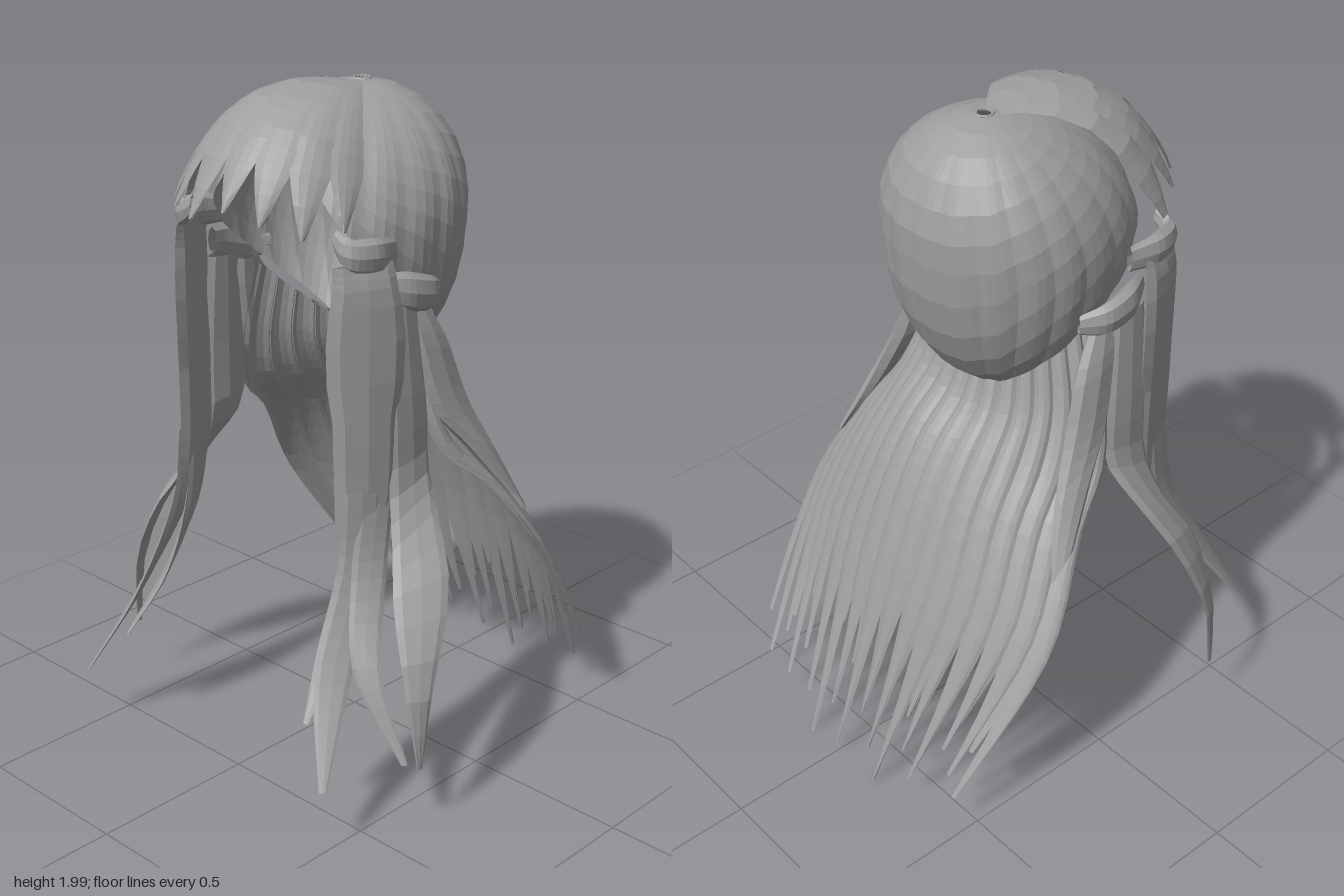
import * as THREE from 'three';

const V = (x, y, z) => new THREE.Vector3(x, y, z);
const { lerp, clamp } = THREE.MathUtils;

// Grid surface from a rule f(u, v) -> Vector3, with u and v in 0..1
function sheet(f, nu, nv) {
  const pos = [], idx = [];
  for (let j = 0; j <= nv; j++)
    for (let i = 0; i <= nu; i++) pos.push(...f(i / nu, j / nv).toArray());
  for (let j = 0; j < nv; j++)
    for (let i = 0; i < nu; i++) {
      const a = j * (nu + 1) + i, b = a + nu + 1;
      idx.push(a, b, a + 1, a + 1, b, b + 1);
    }
  const g = new THREE.BufferGeometry();
  g.setAttribute('position', new THREE.Float32BufferAttribute(pos, 3));
  g.setIndex(idx);
  g.computeVertexNormals();
  return g;
}

// Closed lens-shaped lock lofted along sections of [centre, half-width vector, thickness]
function lockGeometry(sections, steps = 14) {
  const path = new THREE.CatmullRomCurve3(sections.map(s => V(...s[0])));
  const wide = new THREE.CatmullRomCurve3(sections.map(s => V(...s[1])));
  const n = sections.length - 1;
  return sheet((u, v) => {
    const k = Math.min(n - 1, Math.floor(v * n));
    const thick = lerp(sections[k][2], sections[k + 1][2], v * n - k);
    const w = wide.getPoint(v);
    const out = V(0, 0, 0).crossVectors(path.getTangent(v), w).normalize();
    const a = u * Math.PI * 2;
    return path.getPoint(v).addScaledVector(w, Math.cos(a)).addScaledVector(out, thick * Math.sin(a));
  }, 8, steps);
}

// Piecewise-linear lookup over evenly spaced values
function table(values, t) {
  const f = clamp(t, 0, 1) * (values.length - 1);
  const k = Math.min(values.length - 2, Math.floor(f));
  return lerp(values[k], values[k + 1], f - k);
}

export function createModel() {
  const group = new THREE.Group();
  const hair = new THREE.MeshStandardMaterial({ color: 0x9e9e9e, flatShading: true, side: THREE.DoubleSide });
  hair.name = 'hair grey';
  const add = (name, geometry) => {
    const m = new THREE.Mesh(geometry, hair);
    m.name = name;
    group.add(m);
    return m;
  };

  // Scalp cap: wedges fanning out from the crown, hem low at the back and high at the front
  const hem = [1.18, 1.18, 1.21, 1.3, 1.4, 1.52, 1.66, 1.82, 1.88];
  const wedges = 20;
  add('scalpCap', sheet((u, v) => {
    const a = (u * 2 - 1) * Math.PI;
    const end = table(hem, Math.abs(a) / Math.PI);
    const last = end < 1.62 ? Math.PI / 2 + Math.asin((1.62 - end) / 0.48) : Math.acos((end - 1.62) / 0.36);
    const p = lerp(0.07, last, v);
    const ridge = 1 + 0.018 * Math.abs(Math.sin(u * wedges * Math.PI)) * Math.sin(p) - 0.008;
    const c = Math.cos(p), depth = Math.cos(a) > 0 ? 0.32 : 0.41;
    return V(
      0.35 * Math.sin(p) * Math.sin(a) * ridge,
      1.62 + (c > 0 ? 0.36 : 0.48) * c,
      0.03 - 0.06 * Math.max(0, c) - depth * Math.sin(p) * Math.cos(a) * ridge);
  }, wedges * 4, 11));

  // Small ring at the crown
  const ring = add('crownRing', new THREE.TorusGeometry(0.024, 0.005, 5, 12));
  ring.rotation.x = Math.PI / 2;
  ring.position.set(0, 1.979, -0.03);

  // Fringe: pointed locks swept forward from the crown
  const reach = [0.03, 0.13, 0.23, 0.35, 0.45, 0.52, 0.565, 0.6];
  const height = [1.975, 1.995, 2.0, 1.975, 1.915, 1.835, 1.76, 1.68];
  const shrink = [1, 0.99, 0.95, 0.88, 0.8];
  const fringe = 8, span = 0.76;
  for (let i = 0; i < fringe; i++) {
    const mid = ((i + 0.5) / fringe * 2 - 1) * span;
    const length = 1 - 0.03 * ((i * 5) % 3);
    add('fringeLock', sheet((u, v) => {
      const taper = v < 0.72 ? 1.08 : lerp(1.08, 0.12, (v - 0.72) / 0.28);
      const s = u * 2 - 1;
      const b = mid + s * taper * span / fringe;
      const k = Math.abs(b) / span;
      const t = v * length;
      const r = table(reach, t) * table(shrink, k) + 0.01 * (1 - s * s) * v;
      return V(r * Math.sin(b), table(height, t) - 0.06 * k * k * Math.min(1, t * 1.5), -0.03 + r * Math.cos(b));
    }, 4, 14));
  }

  // Back curtain: locks spread between a side edge curve and a centre back curve
  const side = new THREE.CatmullRomCurve3([
    V(0.28, 1.43, 0.12), V(0.35, 1.2, 0.11), V(0.41, 1.0, 0.06), V(0.47, 0.87, -0.08),
    V(0.55, 0.63, -0.24), V(0.545, 0.4, -0.39), V(0.5, 0.15, -0.56)]);
  const back = new THREE.CatmullRomCurve3([
    V(0, 1.22, -0.1), V(0, 1.13, -0.15), V(0, 1.04, -0.24), V(0, 0.9, -0.325),
    V(0, 0.65, -0.425), V(0, 0.38, -0.515), V(0, 0.0, -0.65)]);
  const curtain = (name, count, inset, longest) => {
    for (let i = 0; i < count; i++) {
      const mid = (i + 0.5) / count * 2 - 1;
      const length = longest - 0.02 * ((i * 7) % 5);
      add(name, sheet((u, v) => {
        const taper = v < 0.74 ? 1.1 : lerp(1.1, 0.18, (v - 0.74) / 0.26);
        const q = u * 2 - 1;
        const s = mid + q * taper / count;
        const t = v * length;
        const S = side.getPoint(t), B = back.getPoint(t);
        const a = s * Math.PI / 2, c = Math.cos(a);
        const bulge = 0.018 * (1 - q * q) * (1 - 0.6 * v) - inset;
        return V(
          S.x * lerp(Math.sin(a), s, t) + bulge * Math.sin(a),
          lerp(S.y, B.y, c),
          lerp(S.z, B.z, c) - bulge * c);
      }, 4, 18));
    }
  };
  curtain('backLock', 17, 0, 1);
  curtain('backUnderLock', 12, 0.025, 0.92);

  // Side locks, mirrored
  for (const m of [1, -1]) {
    const lock = (name, sections) => add(name, lockGeometry(
      sections.map(([p, w, th]) => [[p[0] * m, p[1], p[2]], [w[0] * m, w[1], w[2]], th])));
    const tipZ = m > 0 ? 0.39 : 0.35;

    // Wide column in front of the ear
    lock('frontColumn', [
      [[0.335, 1.58, 0.32], [-0.03, 0, 0.085], 0.012],
      [[0.345, 1.5, 0.32], [-0.035, 0, 0.09], 0.025],
      [[0.345, 1.15, 0.32], [-0.035, 0, 0.09], 0.025],
      [[0.345, 0.9, 0.325], [-0.03, 0, 0.085], 0.022],
      [[0.35, 0.74, 0.355], [-0.02, 0, 0.05], 0.01]]);
    // Rear column that curls outwards into a broad tip
    lock('curlingLock', [
      [[0.35, 1.45, 0.19], [0, 0, 0.06], 0.02],
      [[0.37, 1.15, 0.18], [0, 0, 0.08], 0.022],
      [[0.38, 0.95, 0.18], [0, -0.02, 0.08], 0.022],
      [[0.44, 0.82, 0.22], [-0.01, -0.04, 0.08], 0.016],
      [[0.53, 0.67, 0.29], [-0.035, -0.02, 0.075], 0.012],
      [[0.605, 0.45, tipZ - 0.01], [-0.02, 0, 0.035], 0.008],
      [[0.62, 0.21, tipZ], [0, 0, 0.01], 0.003]]);
    // Long strand sweeping forward
    lock('forwardStrand', [
      [[0.35, 0.95, 0.34], [-0.02, 0, 0.06], 0.012],
      [[0.36, 0.74, 0.37], [-0.02, 0, 0.055], 0.012],
      [[0.4, 0.48, 0.5], [-0.03, 0, 0.045], 0.009],
      [[0.5, 0.2, 0.65], [-0.008, 0, 0.007], 0.003]]);
    // Shorter inner strand
    lock('innerStrand', [
      [[0.34, 0.95, 0.31], [-0.02, 0, 0.06], 0.012],
      [[0.34, 0.72, 0.35], [-0.025, 0, 0.05], 0.012],
      [[0.35, 0.52, 0.45], [-0.03, 0, 0.03], 0.008],
      [[0.38, 0.34, 0.59], [-0.008, 0, 0.005], 0.003]]);
    // Extra outward strand on the left only
    if (m > 0) lock('outwardStrand', [
      [[0.36, 0.92, 0.29], [-0.01, 0, 0.06], 0.012],
      [[0.39, 0.72, 0.35], [-0.02, 0, 0.05], 0.01],
      [[0.48, 0.47, 0.45], [-0.03, 0, 0.025], 0.008],
      [[0.61, 0.24, 0.44], [-0.005, 0, 0.008], 0.003]]);
    // Folded hair above the columns
    lock('upperFold', [
      [[0.28, 1.64, 0.36], [0, 0.03, 0], 0.015],
      [[0.325, 1.61, 0.36], [0, 0.045, 0], 0.025],
      [[0.35, 1.6, 0.29], [0, 0.05, 0], 0.028],
      [[0.335, 1.59, 0.2], [0, 0.04, 0], 0.012]]);
    lock('lowerFold', [
      [[0.34, 1.5, 0.24], [0, 0.04, 0], 0.015],
      [[0.365, 1.48, 0.17], [0, 0.055, 0], 0.028],
      [[0.365, 1.46, 0.09], [0, 0.05, 0], 0.028],
      [[0.33, 1.45, 0.02], [0, 0.03, 0], 0.012]]);
    // Thick root of the back curtain behind the ear
    lock('rearRoot', [
      [[0.33, 1.43, 0.11], [0, 0, 0.04], 0.02],
      [[0.35, 1.32, 0.07], [0, 0.02, 0.075], 0.03],
      [[0.38, 1.12, 0.01], [0, 0.02, 0.085], 0.03],
      [[0.43, 0.96, -0.08], [0, 0.05, 0.075], 0.025],
      [[0.49, 0.8, -0.17], [0, 0.04, 0.04], 0.01]]);
  }
  return group;
}
